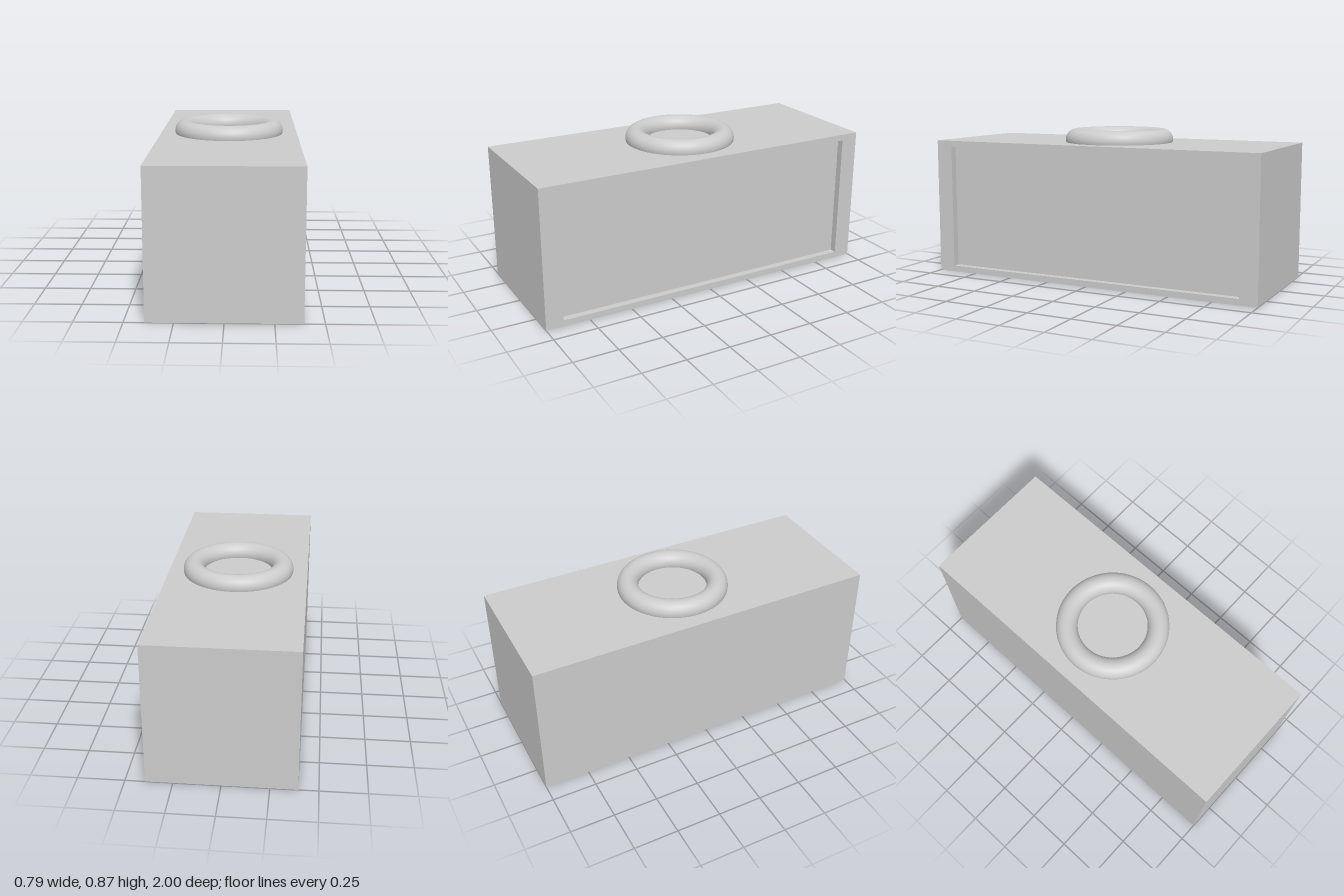
import * as THREE from 'three';

const W = 0.79, H = 0.79, L = 2;             // outer block: x, y, z
const PW = 1.8, PH = 0.72, DEPTH = 0.04;     // recess: length, height, depth
const PY = 0.395;                            // recess centre height

// Box without its +x face; inward = true turns the faces to the inside.
function openBox(w, h, l, inward = false) {
  const geo = new THREE.BoxGeometry(w, h, l);
  const index = Array.from(geo.index.array).slice(6);
  geo.setIndex(inward ? index.reverse() : index);
  geo.clearGroups();
  geo.computeVertexNormals();
  return geo;
}

function rectangle(PathType, w, h) {
  return new PathType([[-1, -1], [1, -1], [1, 1], [-1, 1]]
    .map(([x, y]) => new THREE.Vector2(x * w / 2, y * h / 2)));
}

export function createModel() {
  const model = new THREE.Group();
  model.name = 'blockWithRing';
  const material = new THREE.MeshStandardMaterial({ color: 0xcccccc });

  const add = (name, geo, x, y, z) => {
    const mesh = new THREE.Mesh(geo, material);
    mesh.name = name;
    mesh.position.set(x, y, z);
    model.add(mesh);
  };

  // Block, open on the recessed side
  add('body', openBox(W, H, L), 0, H / 2, 0);

  // Flat border around the recess
  const border = rectangle(THREE.Shape, L, H);
  border.holes.push(rectangle(THREE.Path, PW, PH));
  add('recessBorder', new THREE.ShapeGeometry(border).rotateY(Math.PI / 2), W / 2, H / 2, 0);

  // Shallow recess: four walls and a sunken panel
  add('recess', openBox(DEPTH, PH, PW, true), W / 2 - DEPTH / 2, PY, 0);

  // Ring lying on top, slightly sunk into the block
  const ring = new THREE.TorusGeometry(0.254, 0.06, 32, 96).rotateX(-Math.PI / 2);
  add('topRing', ring, 0, 0.806, -0.018);

  return model;
}
